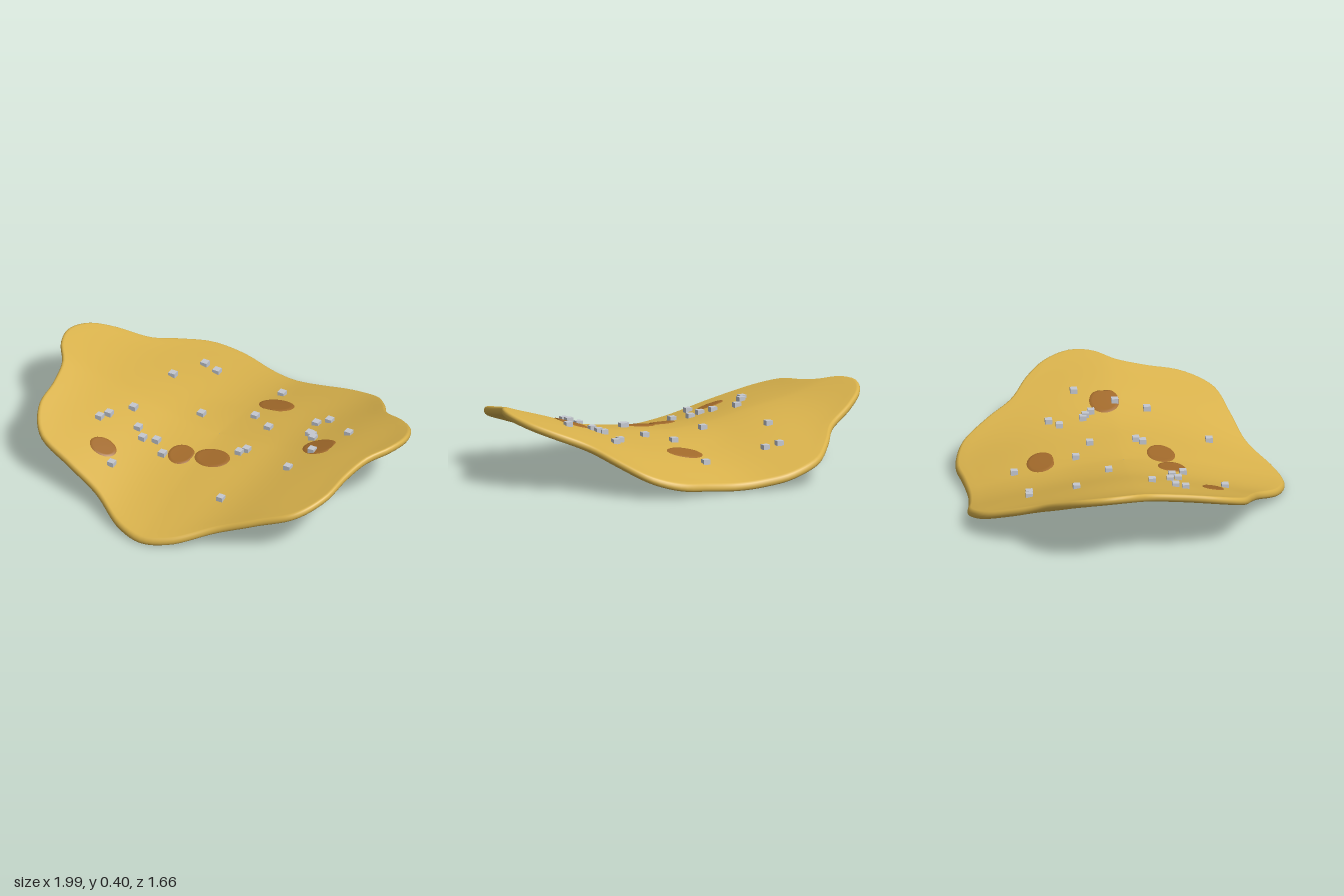
import * as THREE from 'three';

const HALF = 0.018; // half the thickness of the chip

// Mid-surface of the saddle: rises to the sides, falls to front and back, with soft ripples
function height(x, z) {
  const saddle = 0.181 + 0.22 * Math.abs(x) ** 1.6 - 0.215 * Math.abs(z) ** 1.6 + 0.1 * x * x * z * z;
  const ripple = 0.005 * Math.sin(11 * x + 1.2 * z + 0.4) + 0.003 * Math.sin(7 * z - 5 * x);
  return saddle + ripple * Math.min(1, 3 * Math.hypot(x, z));
}

// Builds a smooth grid of rings around a centre point; at(i, j) returns [x, y, z]
function ringSurface(rings, segments, at) {
  const pos = [], index = [];
  for (let i = 0; i < rings; i++)
    for (let j = 0; j < segments; j++) pos.push(...at(i, j));
  for (let i = 0; i < rings - 1; i++)
    for (let j = 0; j < segments; j++) {
      const k = (j + 1) % segments;
      const a = i * segments + j, b = i * segments + k;
      const c = a + segments, d = b + segments;
      index.push(a, c, b, b, c, d);
    }
  const geo = new THREE.BufferGeometry();
  geo.setAttribute('position', new THREE.Float32BufferAttribute(pos, 3));
  geo.setIndex(index);
  geo.computeVertexNormals();
  return geo;
}

// Wavy outline, right half from front to back, mirrored to the left
function chipOutline(segments) {
  const half = [
    [0.15, 0.79], [0.35, 0.67], [0.55, 0.61], [0.75, 0.54], [0.845, 0.39], [0.865, 0.2],
    [0.9, 0.05], [0.97, -0.06], [0.995, -0.18], [0.95, -0.31], [0.85, -0.41], [0.7, -0.51],
    [0.61, -0.64], [0.5, -0.77], [0.42, -0.81], [0.3, -0.832], [0.15, -0.812],
  ];
  const all = [[0, 0.828], ...half, [0, -0.8], ...half.slice().reverse().map(([x, z]) => [-x, z])];
  const curve = new THREE.CatmullRomCurve3(all.map(([x, z]) => new THREE.Vector3(x, 0, z)), true);
  return curve.getSpacedPoints(segments).slice(0, segments);
}

function chipGeometry() {
  const segments = 160, outline = chipOutline(segments);
  // Cross-section: top face outwards, round rim, bottom face inwards
  const section = [];
  const steps = 22, inner = 0.978;
  for (let i = 0; i <= steps; i++) section.push([0.002 + (inner - 0.002) * i / steps, HALF]);
  for (let i = 1; i < 8; i++) {
    const a = Math.PI * (0.5 - i / 8);
    section.push([inner + (1 - inner) * Math.cos(a), HALF * Math.sin(a)]);
  }
  for (let i = steps; i >= 0; i--) section.push([0.002 + (inner - 0.002) * i / steps, -HALF]);
  return ringSurface(section.length, segments, (i, j) => {
    const [s, dy] = section[i];
    const x = outline[j].x * s, z = outline[j].z * s;
    // slightly swollen rim
    return [x, height(x, z) + dy * (1 + 0.25 * s ** 12), z];
  });
}

// Thin toasted patch that follows the surface, clipped on some sides
function spotGeometry([cx, cz, rx, rz, maxX = 9, minZ = -9, maxZ = 9]) {
  return ringSurface(9, 36, (i, j) => {
    const a = j / 36 * Math.PI * 2, s = 0.002 + i / 8;
    const x = Math.min(cx + rx * s * Math.sin(a), maxX);
    const z = Math.max(minZ, Math.min(cz + rz * s * Math.cos(a), maxZ));
    return [x, height(x, z) + HALF + (i === 8 ? -0.002 : 0.004), z];
  });
}

export function createModel() {
  const chipMat = new THREE.MeshStandardMaterial({ color: 0xd9b24c });
  chipMat.name = 'golden corn';
  const spotMat = new THREE.MeshStandardMaterial({ color: 0xa26a2b });
  spotMat.name = 'toasted brown';
  const saltMat = new THREE.MeshStandardMaterial({ color: 0xc4c8d0 });
  saltMat.name = 'salt grey';

  const group = new THREE.Group();
  group.name = 'chip';
  const add = (geo, mat, name) => {
    const mesh = new THREE.Mesh(geo, mat);
    mesh.name = name;
    group.add(mesh);
    return mesh;
  };

  add(chipGeometry(), chipMat, 'chipBody');

  // Toasted spots: centre x, z, radii, then optional clip limits
  const spots = [
    [0.1, -0.415, 0.1, 0.075, 9, -9, -0.35],
    [0.565, -0.04, 0.095, 0.08, 0.637],
    [0.07, 0.2, 0.1, 0.075],
    [-0.09, 0.24, 0.07, 0.075, -0.03],
    [-0.45, 0.415, 0.075, 0.058, -0.375],
  ];
  for (const spot of spots) add(spotGeometry(spot), spotMat, 'toastedSpot');

  // Salt grains: x, z
  const grains = [
    [-0.385, -0.525], [-0.31, -0.517], [0.05, -0.557], [-0.438, -0.287], [0.075, -0.237],
    [0.2, -0.153], [-0.16, -0.093], [0.455, -0.338], [0.406, -0.287], [0.652, -0.188],
    [0.438, -0.163], [0.46, -0.148], [0.482, -0.117], [0.551, 0.013], [0.5, 0.173],
    [0.207, 0.085], [0.182, 0.117], [-0.45, 0.101], [-0.53, 0.214], [-0.558, 0.262],
    [-0.363, 0.203], [-0.312, 0.249], [-0.245, 0.224], [-0.173, 0.288], [-0.36, 0.485],
    [0.273, 0.469],
  ];
  const grainGeo = new THREE.BoxGeometry(0.036, 0.026, 0.036);
  for (const [x, z] of grains)
    add(grainGeo, saltMat, 'saltGrain').position.set(x, height(x, z) + HALF + 0.01, z);

  // Rest on the ground
  const box = new THREE.Box3().setFromObject(group);
  for (const child of group.children) child.position.y -= box.min.y;
  return group;
}
